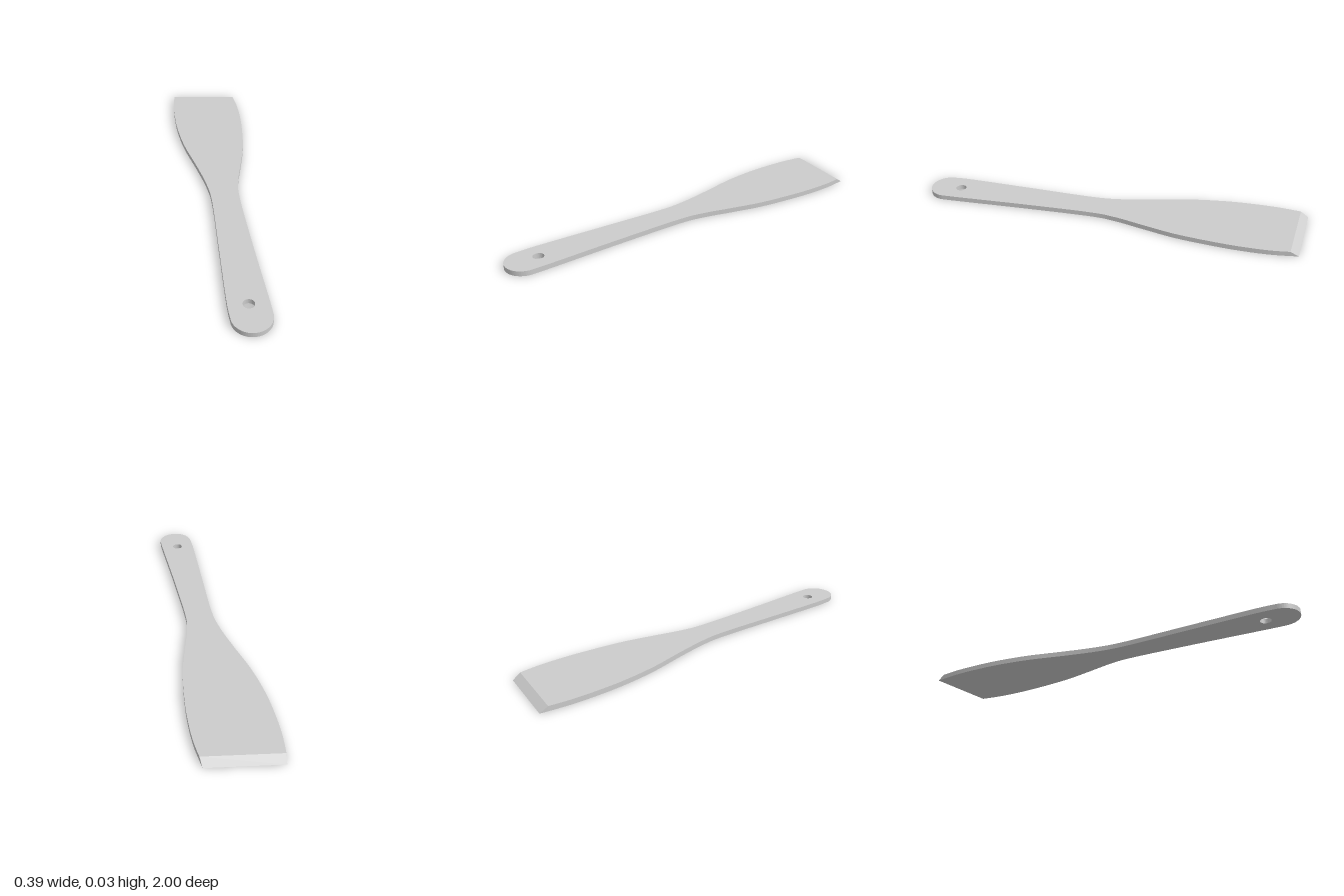
import * as THREE from 'three';

const THICK = 0.025;

// Plan points are [x, z]; the shape is drawn with y = -z and then laid flat.
const plan = ([x, z]) => new THREE.Vector2(x, -z);

export function createModel() {
  const group = new THREE.Group();
  group.name = 'spatula';

  // Slanted tip edge and the line where its bevel meets the top face
  const tipL = plan([-0.175, -1]), tipR = plan([0.172, -0.957]);
  const bevelL = plan([-0.181, -0.96]), bevelR = plan([0.178, -0.915]);

  // Side curves from blade to handle end
  const left = [[-0.193, -0.85], [-0.196, -0.73], [-0.19, -0.58], [-0.165, -0.4], [-0.117, -0.2],
    [-0.082, -0.03], [-0.07, 0.12], [-0.079, 0.45], [-0.089, 0.8], [-0.086, 0.906]].map(plan);
  const right = [[0.188, -0.83], [0.191, -0.72], [0.185, -0.58], [0.162, -0.37], [0.125, -0.2],
    [0.087, -0.04], [0.073, 0.1], [0.081, 0.45], [0.095, 0.8], [0.098, 0.906]].map(plan);

  const outline = new THREE.Shape();
  outline.moveTo(tipL.x, tipL.y);
  outline.lineTo(bevelL.x, bevelL.y);
  outline.splineThru(left);
  outline.absarc(0.006, -0.906, 0.092, Math.PI, Math.PI * 2, false);
  outline.splineThru([...right.slice(0, -1).reverse(), bevelR]);
  outline.lineTo(tipR.x, tipR.y);
  outline.closePath();

  // Hanging hole
  const hole = new THREE.Path();
  hole.absarc(0.004, -0.835, 0.027, 0, Math.PI * 2, true);
  outline.holes.push(hole);

  const geometry = new THREE.ExtrudeGeometry(outline, { depth: THICK, bevelEnabled: false, curveSegments: 14 });

  // Pull the top tip corners back to slope the tip down to a sharp edge
  const pos = geometry.attributes.position;
  for (let i = 0; i < pos.count; i++) {
    if (pos.getZ(i) < THICK / 2) continue;
    for (const [tip, bevel] of [[tipL, bevelL], [tipR, bevelR]]) {
      if (Math.hypot(pos.getX(i) - tip.x, pos.getY(i) - tip.y) < 1e-4) pos.setXY(i, bevel.x, bevel.y);
    }
  }
  geometry.rotateX(-Math.PI / 2);
  geometry.computeVertexNormals();

  const body = new THREE.Mesh(geometry, new THREE.MeshStandardMaterial({ color: 0xcccccc }));
  body.name = 'bladeAndHandle';
  group.add(body);
  return group;
}
